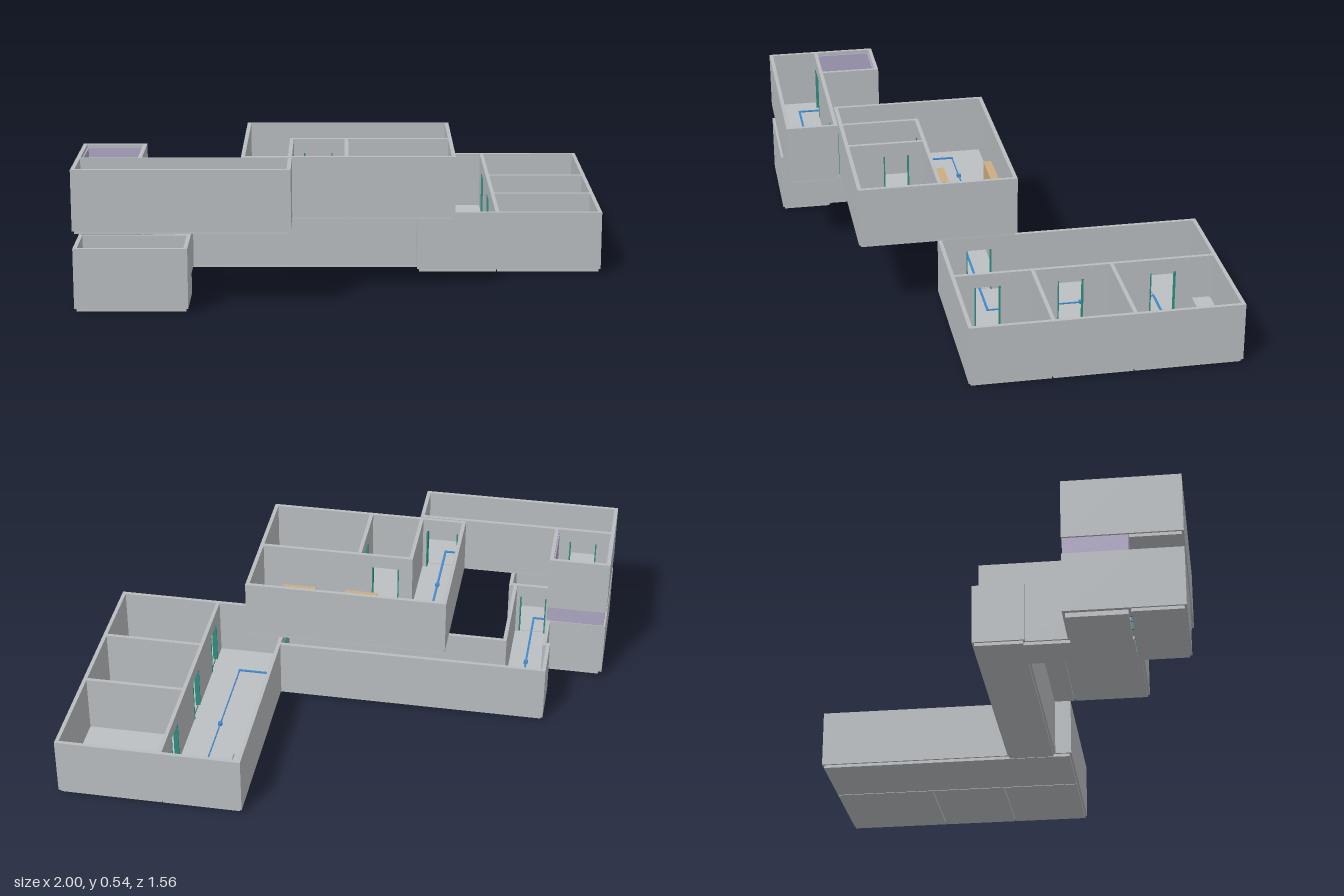
import * as THREE from 'three';

const mat = (name, color) => {
  const m = new THREE.MeshStandardMaterial({ color });
  m.name = name;
  return m;
};

const T = 0.015, WALL_H = 0.23, DOOR_H = 0.175;
const LOWER = 0.018, UPPER = 0.314;

export function createModel() {
  const wallGrey = mat('wall grey', 0xb8bcbf);
  const floorGrey = mat('floor grey', 0xbcc0c3);
  const lavender = mat('shaft lavender', 0xaea5c4);
  const teal = mat('door frame teal', 0x2f8f83);
  const wood = mat('wood', 0xc9ad82);
  const blue = mat('route blue', 0x3f8ad0);
  const mauve = mat('route mauve', 0xaaa0bc);
  const dark = mat('vehicle dark', 0x2a3036);

  const model = new THREE.Group();
  model.name = 'floorPlan';

  // Box given by its minimum and maximum corners
  const box = (parent, name, m, x0, x1, y0, y1, z0, z1) => {
    const mesh = new THREE.Mesh(new THREE.BoxGeometry(x1 - x0, y1 - y0, z1 - z0), m);
    mesh.position.set((x0 + x1) / 2, (y0 + y1) / 2, (z0 + z1) / 2);
    mesh.name = name;
    parent.add(mesh);
    return mesh;
  };

  // Straight wall along its longer side, with framed (or plain) door openings
  const wall = (parent, y, [x0, z0, x1, z1, ...doors]) => {
    const alongX = x1 - x0 > z1 - z0;
    const piece = (name, m, a, b, ya, yb, out = 0) => alongX
      ? box(parent, name, m, a, b, y + ya, y + yb, z0 - out, z1 + out)
      : box(parent, name, m, x0 - out, x1 + out, y + ya, y + yb, a, b);
    let start = alongX ? x0 : z0;
    for (const [a, b] of doors) {
      piece('wall', wallGrey, start, a, 0, WALL_H);
      piece('lintel', wallGrey, a, b, DOOR_H, WALL_H);
      piece('doorJamb', teal, a, a + 0.005, 0, DOOR_H, 0.002);
      piece('doorJamb', teal, b - 0.005, b, 0, DOOR_H, 0.002);
      start = b;
    }
    piece('wall', wallGrey, start, alongX ? x1 : z1, 0, WALL_H);
  };

  // Four walls around a rectangle; doors per side: back, front, right (-x), left (+x)
  const room = (parent, y, x0, x1, z0, z1, d = {}) => {
    wall(parent, y, [x0, z0, x1, z0 + T, ...(d.back || [])]);
    if (!d.noFront) wall(parent, y, [x0, z1 - T, x1, z1, ...(d.front || [])]);
    wall(parent, y, [x0, z0, x0 + T, z1, ...(d.right || [])]);
    wall(parent, y, [x1 - T, z0, x1, z1, ...(d.left || [])]);
  };

  const storey = (name, y, slabs, build) => {
    const g = new THREE.Group();
    g.name = name;
    build(g);
    for (const [x0, x1, z0, z1] of slabs) box(g, 'floorSlab', floorGrey, x0, x1, y - 0.012, y, z0, z1);
    // Shaft walls, open towards the lobby
    room(g, y, -1, -0.757, 0.34, 0.58, { noFront: true });
    model.add(g);
    return g;
  };

  // Lower storey: wing with three rooms, long corridor and lobby
  const lower = storey('lowerStorey', LOWER, [
    [0.288, 0.59, -0.772, 0.242], [0.595, 0.992, -0.772, -0.37],
    [0.595, 0.992, -0.365, -0.065], [0.595, 0.992, -0.06, 0.242],
    [-0.782, 0.284, -0.002, 0.178], [-0.767, -0.608, 0.178, 0.58], [-0.992, -0.588, 0.584, 0.772],
  ], (g) => {
    room(g, LOWER, 0.28, 1, -0.78, 0.25, { right: [[0.04, 0.14]] });
    [
      [0.585, -0.765, 0.6, 0.235, [-0.62, -0.52], [-0.26, -0.16], [0.06, 0.16]],
      [0.6, -0.375, 0.985, -0.36], [0.6, -0.07, 0.985, -0.055],
      [-0.79, -0.01, 0.28, 0.005], [-0.79, -0.01, -0.775, 0.185],
      [-0.615, 0.17, 0.28, 0.185], [-0.775, 0.17, -0.76, 0.58], [-0.615, 0.17, -0.6, 0.58],
    ].forEach((w) => wall(g, LOWER, w));
    room(g, LOWER, -1, -0.58, 0.575, 0.78, { back: [[-0.93, -0.82], [-0.74, -0.63]] });
  });

  // Upper storey: hall with two rooms, passage and front corridor
  const upper = storey('upperStorey', UPPER, [
    [-0.382, 0.402, -0.032, 0.255], [-0.382, -0.21, 0.255, 0.58],
    [-0.205, 0, 0.26, 0.562], [0.005, 0.402, 0.26, 0.562], [-0.992, -0.208, 0.584, 0.772],
  ], (g) => {
    room(g, UPPER, -0.39, 0.41, -0.04, 0.57, { front: [[-0.36, -0.23]] });
    room(g, UPPER, -1, -0.2, 0.575, 0.78, { back: [[-0.93, -0.82], [-0.36, -0.23]] });
    [
      [-0.215, 0.25, 0.395, 0.265, [-0.16, -0.05]],
      [-0.215, 0.25, -0.2, 0.57],
      [-0.005, 0.25, 0.01, 0.57, [0.32, 0.42]],
    ].forEach((w) => wall(g, UPPER, w));
  });

  // Lift shaft: pit, lining and the band between the storeys
  const shaft = new THREE.Group();
  shaft.name = 'liftShaft';
  model.add(shaft);
  box(shaft, 'pitFloor', floorGrey, -0.985, -0.772, 0, 0.018, 0.35, 0.575);
  box(shaft, 'backLining', lavender, -0.988, -0.769, 0.018, 0.53, 0.352, 0.36);
  box(shaft, 'rightLining', lavender, -0.988, -0.98, 0.018, 0.53, 0.352, 0.574);
  box(shaft, 'leftLining', lavender, -0.777, -0.769, 0.018, 0.53, 0.352, 0.574);
  const y0 = LOWER + WALL_H;
  box(shaft, 'backBand', lavender, -0.992, -0.76, y0, UPPER, 0.343, 0.353);
  box(shaft, 'frontBand', lavender, -0.992, -0.76, y0, UPPER, 0.572, 0.582);
  box(shaft, 'rightBand', lavender, -0.992, -0.982, y0, UPPER, 0.343, 0.582);
  box(shaft, 'leftBand', lavender, -0.77, -0.76, y0, UPPER, 0.343, 0.582);

  // Furniture
  box(upper, 'counter', wood, -0.05, 0.36, UPPER, UPPER + 0.095, -0.02, 0.012);
  for (const x of [-0.08, 0.175]) {
    box(upper, 'tableTop', wood, x, x + 0.135, UPPER + 0.058, UPPER + 0.068, 0.168, 0.226);
    for (const lx of [x + 0.006, x + 0.121])
      for (const lz of [0.174, 0.212]) box(upper, 'tableLeg', wood, lx, lx + 0.008, UPPER, UPPER + 0.058, lz, lz + 0.008);
  }
  for (const x of [0.63, 0.738, 0.853]) box(lower, 'cabinet', floorGrey, x, x + 0.093, LOWER, LOWER + 0.07, -0.75, -0.68);

  // Small wheeled vehicle in the hall
  const cart = new THREE.Group();
  cart.name = 'vehicle';
  cart.position.set(0.104, UPPER, 0.087);
  box(cart, 'body', dark, -0.027, 0.027, 0.012, 0.045, -0.047, 0.047);
  box(cart, 'topCover', dark, -0.02, 0.02, 0.045, 0.055, -0.03, 0.03);
  for (const x of [-0.03, 0.03])
    for (const z of [-0.03, 0.03]) {
      const wheel = new THREE.Mesh(new THREE.CylinderGeometry(0.014, 0.014, 0.012, 16), dark);
      wheel.name = 'wheel';
      wheel.rotation.z = Math.PI / 2;
      wheel.position.set(x, 0.014, z);
      cart.add(wheel);
    }
  upper.add(cart);

  // Routes along the floor as thin strips through a few points
  const route = (parent, name, m, y, w, pts) => {
    for (let i = 1; i < pts.length; i++) {
      const [[ax, az], [bx, bz]] = [pts[i - 1], pts[i]];
      box(parent, name, m, Math.min(ax, bx) - w, Math.max(ax, bx) + w, y + 0.004, y + 0.009,
        Math.min(az, bz) - w, Math.max(az, bz) + w);
    }
  };
  route(lower, 'lowerRoute', blue, LOWER, 0.004,
    [[-0.88, 0.46], [-0.88, 0.67], [-0.685, 0.67], [-0.685, 0.088], [0.475, 0.088]]);
  route(lower, 'wingRoute', blue, LOWER, 0.002, [[0.475, 0.088], [0.475, -0.57]]);
  route(lower, 'roomRoute', blue, LOWER, 0.004, [[0.475, -0.57], [0.677, -0.57], [0.677, -0.61]]);
  route(lower, 'sideRoute', mauve, LOWER - 0.001, 0.002, [[0.38, -0.46], [0.38, -0.57], [0.9, -0.57]]);
  route(upper, 'upperRoute', blue, UPPER, 0.004,
    [[-0.88, 0.46], [-0.88, 0.67], [-0.297, 0.67], [-0.297, 0.1]]);
  route(upper, 'hallRoute', blue, UPPER, 0.002, [[-0.297, 0.1], [0.07, 0.1]]);
  for (const [g, y, x, z] of [
    [lower, LOWER, 0.475, -0.28], [lower, LOWER, -0.685, 0.345],
    [upper, UPPER, -0.297, 0.415], [upper, UPPER, -0.12, 0.1], [upper, UPPER, -0.62, 0.67],
  ]) box(g, 'routeMarker', blue, x - 0.008, x + 0.008, y + 0.003, y + 0.014, z - 0.008, z + 0.008);

  return model;
}
